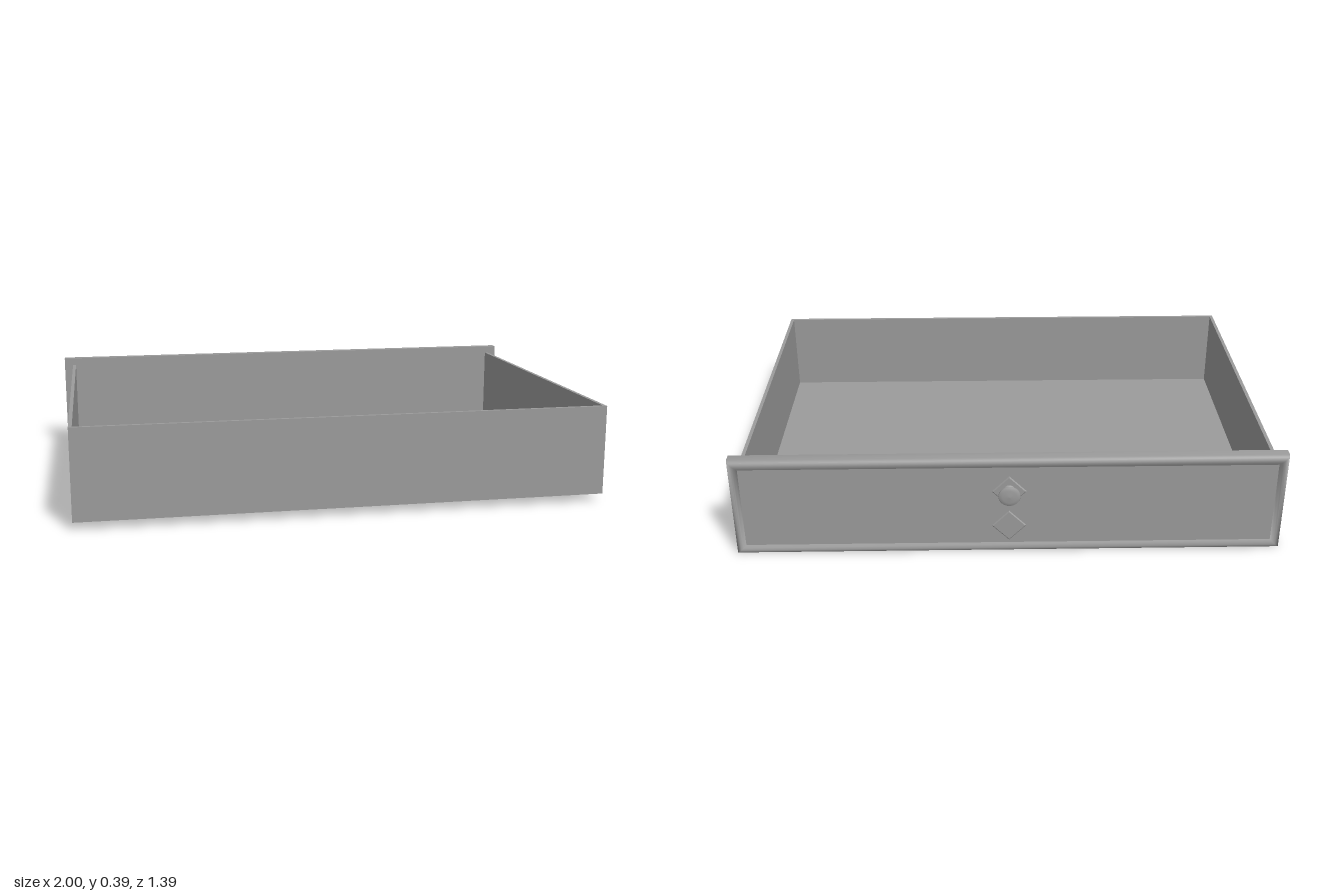
import * as THREE from 'three';

const material = new THREE.MeshStandardMaterial({ color: 0x9b9b9b });

function addMesh(parent, name, geometry, x = 0, y = 0, z = 0) {
  const mesh = new THREE.Mesh(geometry, material);
  mesh.name = name;
  mesh.position.set(x, y, z);
  parent.add(mesh);
  return mesh;
}

// Nested rectangles, one per [inset, depth] pair, joined into a softly shaded moulding facing +z
function moulding(width, height, profile) {
  const positions = [];
  const index = [];
  for (const [inset, depth] of profile) {
    const w = width / 2 - inset;
    const h = height / 2 - inset;
    positions.push(-w, -h, depth, w, -h, depth, w, h, depth, -w, h, depth);
  }
  for (let r = 0; r < profile.length - 1; r++) {
    for (let i = 0; i < 4; i++) {
      const a = r * 4 + i;
      const b = r * 4 + (i + 1) % 4;
      index.push(a, b, b + 4, a, b + 4, a + 4);
    }
  }
  const geometry = new THREE.BufferGeometry();
  geometry.setAttribute('position', new THREE.Float32BufferAttribute(positions, 3));
  geometry.setIndex(index);
  geometry.computeVertexNormals();
  return geometry;
}

export function createModel() {
  const model = new THREE.Group();
  model.name = 'drawer';

  // Open tray, its floor set just above the lower edge of the walls
  const halfWidth = 0.965, bottom = 0.029, top = 0.361;
  const zFace = -0.602, zEnd = 0.697, wall = 0.013;
  const depth = zEnd - zFace, height = top - bottom;
  const midY = (top + bottom) / 2, midZ = (zFace + zEnd) / 2;
  for (const [side, name] of [[1, 'leftWall'], [-1, 'rightWall']]) {
    addMesh(model, name, new THREE.BoxGeometry(wall, height, depth), side * (halfWidth - wall / 2), midY, midZ);
  }
  const innerWidth = 2 * (halfWidth - wall);
  addMesh(model, 'endWall', new THREE.BoxGeometry(innerWidth, height, wall), 0, midY, zEnd - wall / 2);
  addMesh(model, 'floor', new THREE.BoxGeometry(innerWidth, 0.01, depth - wall), 0, bottom + 0.009, midZ - wall / 2);

  // Face group, turned so that its local +z points out of the drawer
  const face = new THREE.Group();
  face.name = 'drawerFace';
  face.position.set(0, 0.195, zFace);
  face.rotation.y = Math.PI;
  model.add(face);

  // Rounded rim sloping gently down to a flat field
  const faceWidth = 2, faceHeight = 0.39;
  const round = 0.018, faceDepth = 0.052, fieldInset = 0.036, fieldDepth = 0.044;
  const profile = [[0, 0]];
  for (let i = 0; i <= 6; i++) {
    const t = (i / 6) * Math.PI / 2;
    profile.push([round * (1 - Math.cos(t)), faceDepth - round + round * Math.sin(t)]);
  }
  profile.push([0.026, 0.05], [fieldInset, fieldDepth]);
  addMesh(face, 'faceRim', moulding(faceWidth, faceHeight, profile));
  addMesh(face, 'faceField', new THREE.PlaneGeometry(faceWidth - 2 * fieldInset, faceHeight - 2 * fieldInset), 0, 0, fieldDepth);
  addMesh(face, 'faceInside', new THREE.PlaneGeometry(faceWidth, faceHeight).rotateY(Math.PI));

  // Two thin raised diamonds
  for (const y of [0.06, -0.085]) {
    const diamond = new THREE.CylinderGeometry(0.058, 0.063, 0.004, 4).toNonIndexed();
    diamond.computeVertexNormals();
    diamond.rotateX(Math.PI / 2);
    addMesh(face, 'diamondOrnament', diamond, 0, y, fieldDepth + 0.002);
  }

  // Turned knob: flared foot, slim neck and domed cap
  const knobProfile = [
    [0.024, 0], [0.021, 0.008], [0.016, 0.013], [0.014, 0.02], [0.018, 0.028],
    [0.028, 0.035], [0.038, 0.039], [0.04, 0.042], [0.038, 0.046], [0.025, 0.049], [0, 0.051],
  ].map(([r, y]) => new THREE.Vector2(r, y));
  const knob = new THREE.LatheGeometry(knobProfile, 32);
  knob.rotateX(Math.PI / 2);
  addMesh(face, 'knob', knob, 0, 0.065, fieldDepth);

  return model;
}
